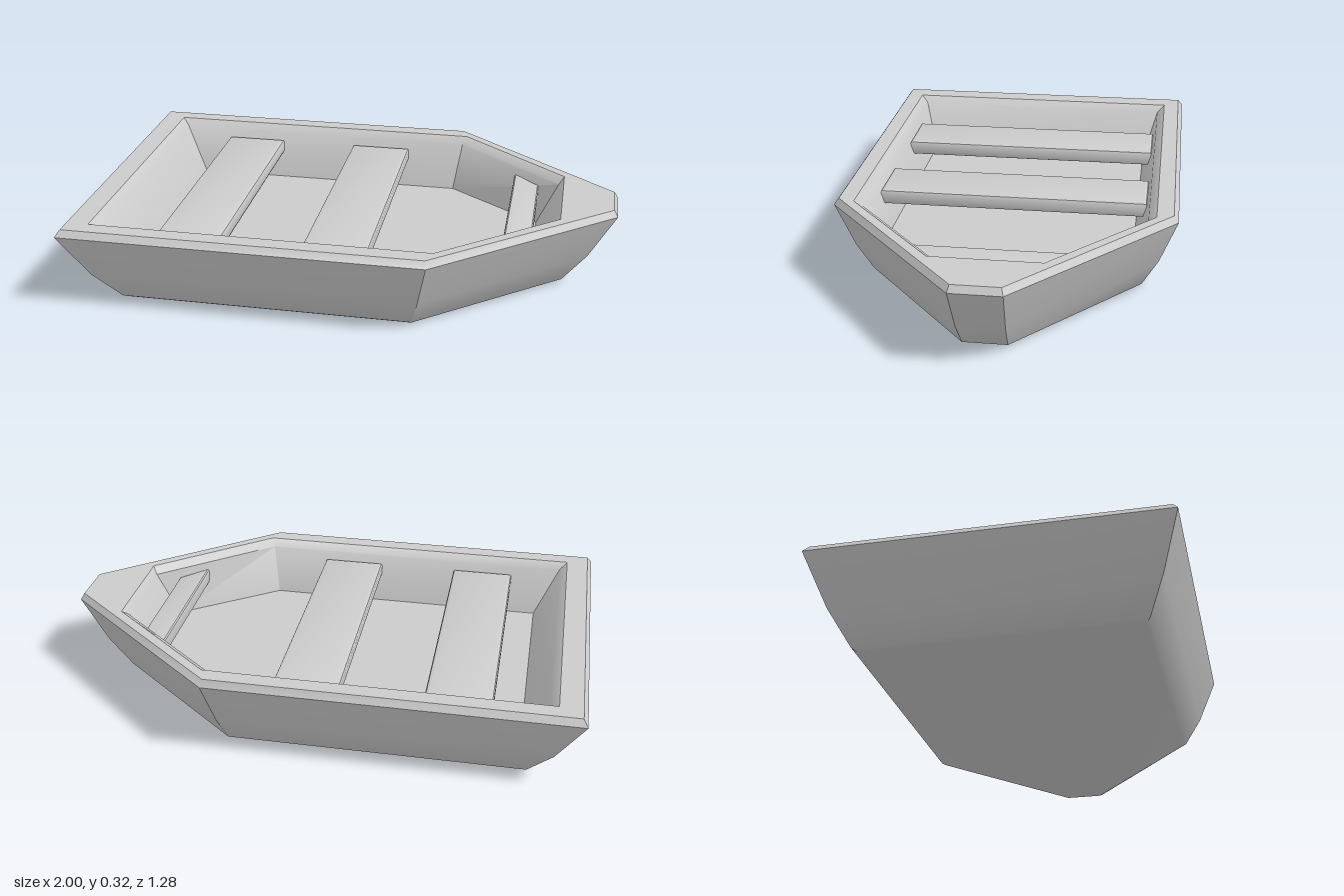
import * as THREE from 'three';
import { toCreasedNormals } from 'three/addons/utils/BufferGeometryUtils.js';

const material = new THREE.MeshStandardMaterial({ color: 0xcccccc });

// Hull cross-sections from keel, over the rim, down to the inner floor:
// [height, stern x, shoulder x, half width, bow x, bow half width]
const SECTIONS = [
  [0.0, -0.79, 0.285, 0.5, 0.79, 0.07],
  [0.01, -0.81, 0.29, 0.515, 0.81, 0.08],
  [0.12, -0.9, 0.315, 0.575, 0.9, 0.085],
  [0.295, -1.0, 0.35, 0.64, 1.0, 0.092],
  [0.32, -0.983, 0.345, 0.622, 0.985, 0.085],
  [0.32, -0.9, 0.365, 0.56, 0.79, 0.2],
  [0.295, -0.87, 0.35, 0.53, 0.77, 0.175],
  [0.11, -0.78, 0.32, 0.475, 0.69, 0.2],
];

function hullGeometry() {
  const positions = [];
  const indices = [];
  const sides = 6;
  for (const [y, stern, shoulder, half, bow, bowHalf] of SECTIONS) {
    positions.push(
      stern, y, half, shoulder, y, half, bow, y, bowHalf,
      bow, y, -bowHalf, shoulder, y, -half, stern, y, -half
    );
  }
  // Skin between neighbouring sections
  for (let s = 0; s < SECTIONS.length - 1; s++) {
    for (let i = 0; i < sides; i++) {
      const j = (i + 1) % sides;
      const a = s * sides + i, b = s * sides + j;
      indices.push(a, b, b + sides, a, b + sides, a + sides);
    }
  }
  // Underside and inner floor
  const top = (SECTIONS.length - 1) * sides;
  for (let i = 1; i < sides - 1; i++) {
    indices.push(0, i + 1, i);
    indices.push(top, top + i, top + i + 1);
  }
  const geometry = new THREE.BufferGeometry();
  geometry.setAttribute('position', new THREE.Float32BufferAttribute(positions, 3));
  geometry.setIndex(indices);
  return toCreasedNormals(geometry, 0.6);
}

// Bevelled plank across the boat; its half length may differ at each edge
function bench(name, x0, x1, half0, half1, topY) {
  const bevel = 0.014, thickness = 0.06;
  const shape = new THREE.Shape([
    new THREE.Vector2(x0 + bevel, -half0 + bevel),
    new THREE.Vector2(x1 - bevel, -half1 + bevel),
    new THREE.Vector2(x1 - bevel, half1 - bevel),
    new THREE.Vector2(x0 + bevel, half0 - bevel),
  ]);
  const geometry = new THREE.ExtrudeGeometry(shape, {
    depth: thickness - 2 * bevel,
    bevelEnabled: true,
    bevelSize: bevel,
    bevelThickness: bevel,
    bevelSegments: 2,
  });
  geometry.rotateX(-Math.PI / 2);
  geometry.translate(0, topY - thickness + bevel, 0);
  const mesh = new THREE.Mesh(toCreasedNormals(geometry, 0.5), material);
  mesh.name = name;
  return mesh;
}

export function createModel() {
  const boat = new THREE.Group();
  boat.name = 'rowingBoat';

  const hull = new THREE.Mesh(hullGeometry(), material);
  hull.name = 'hull';
  boat.add(hull);

  boat.add(
    bench('sternBench', -0.675, -0.43, 0.52, 0.52, 0.265),
    bench('middleBench', -0.125, 0.12, 0.52, 0.52, 0.265),
    bench('bowBench', 0.58, 0.69, 0.33, 0.24, 0.265)
  );
  return boat;
}
